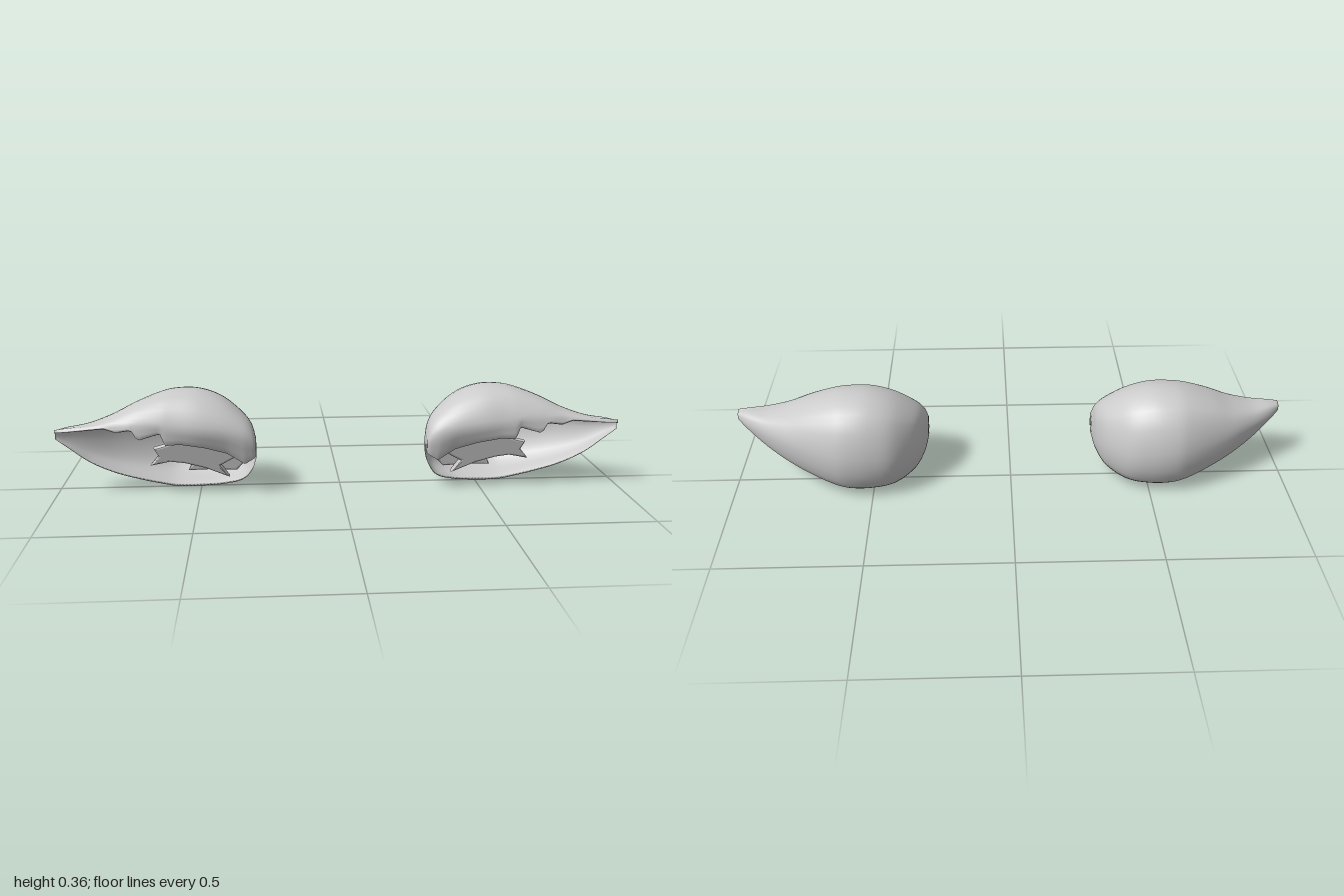
import * as THREE from 'three';
import { mergeVertices } from 'three/addons/utils/BufferGeometryUtils.js';

const COLS = 72, ARC = 26;

// Cross-sections along x: [x, lower rim z,y, back z,y, top z,y, front z,y, front rim z]
const STATIONS = [
  [0.30, 0.10, 0.13, 0.06, 0.16, 0.09, 0.20, 0.125, 0.18, 0.12],
  [0.315, 0.09, 0.085, 0.0, 0.15, 0.06, 0.245, 0.135, 0.20, 0.125],
  [0.35, 0.06, 0.04, -0.065, 0.15, 0.03, 0.285, 0.145, 0.22, 0.125],
  [0.42, 0.02, 0.012, -0.13, 0.15, 0.0, 0.335, 0.152, 0.24, 0.13],
  [0.50, 0.005, 0.003, -0.155, 0.16, -0.01, 0.362, 0.155, 0.25, 0.14],
  [0.58, 0.005, 0.003, -0.158, 0.17, -0.01, 0.363, 0.15, 0.26, 0.145],
  [0.64, 0.01, 0.015, -0.142, 0.175, -0.003, 0.35, 0.146, 0.27, 0.145],
  [0.72, 0.028, 0.04, -0.105, 0.187, 0.015, 0.32, 0.138, 0.272, 0.145],
  [0.80, 0.05, 0.072, -0.06, 0.20, 0.04, 0.283, 0.122, 0.266, 0.13],
  [0.88, 0.07, 0.117, -0.005, 0.205, 0.06, 0.257, 0.112, 0.255, 0.12],
  [0.95, 0.085, 0.175, 0.045, 0.212, 0.08, 0.249, 0.106, 0.25, 0.115],
  [0.99, 0.095, 0.21, 0.08, 0.222, 0.09, 0.24, 0.105, 0.245, 0.108],
];

// Ragged height of the front rim: [x, y]
const FRINGE = [
  [0.30, 0.14], [0.34, 0.115], [0.40, 0.155], [0.48, 0.18], [0.56, 0.195], [0.612, 0.192],
  [0.628, 0.235], [0.705, 0.212], [0.725, 0.25], [0.78, 0.24], [0.82, 0.253], [0.90, 0.244], [0.99, 0.235],
];

function fringeY(x) {
  let i = 1;
  while (i < FRINGE.length - 1 && FRINGE[i][0] < x) i++;
  const [x0, y0] = FRINGE[i - 1], [x1, y1] = FRINGE[i];
  return THREE.MathUtils.lerp(y0, y1, THREE.MathUtils.clamp((x - x0) / (x1 - x0), 0, 1));
}

// Smooth value of one station column at t in 0..1
const tracks = STATIONS[0].map((_, k) =>
  new THREE.CatmullRomCurve3(STATIONS.map((s, i) => new THREE.Vector3(i, s[k], 0)), false, 'catmullrom', 0.5));

// Closed ring: outer skin from lower rim over the back to the front rim, then the inner skin back
function ring(t) {
  const [x, rz, ry, bz, by, tz, ty, fz, fy, ez] = tracks.map((c) => c.getPoint(t).y);
  const v = (z, y) => new THREE.Vector3(x, y, z);
  const mix = THREE.MathUtils.lerp;
  const arc = new THREE.CatmullRomCurve3([
    v(rz, ry), v(mix(rz, bz, 0.72), mix(by, ry, 0.8)), v(bz, by),
    v(mix(tz, bz, 0.7), mix(by, ty, 0.76)), v(tz, ty),
    v(mix(tz, fz, 0.7), mix(fy, ty, 0.78)), v(fz, fy), v(ez, fringeY(x)),
  ], false, 'centripetal');
  const outer = [], inner = [];
  const centre = v((bz + fz) / 2, (ry + ty) / 2);
  for (let j = 0; j <= ARC; j++) {
    const p = arc.getPoint(j / ARC);
    outer.push(p);
    inner.unshift(p.clone().lerp(centre, 0.05 + 0.09 * Math.sin(Math.PI * j / ARC)));
  }
  return [...outer, ...inner];
}

function shellGeometry() {
  const rings = [];
  for (let i = 0; i <= COLS; i++) rings.push(ring(i / COLS));
  // Close both ends on a single point
  const collapse = (r) => {
    const c = r.reduce((a, p) => a.add(p), new THREE.Vector3()).divideScalar(r.length);
    return r.map(() => c);
  };
  rings.unshift(collapse(rings[0]));
  rings.push(collapse(rings[rings.length - 1]));
  const n = rings[0].length, index = [];
  for (let i = 0; i < rings.length - 1; i++) {
    for (let j = 0; j < n; j++) {
      const a = i * n + j, b = i * n + (j + 1) % n;
      index.push(a, b, a + n, b, b + n, a + n);
    }
  }
  const g = new THREE.BufferGeometry().setFromPoints(rings.flat());
  g.setIndex(index);
  g.computeVertexNormals();
  return g;
}

// Pointed clump of fur, leaning forward towards its top
function tuftGeometry(points, z, lean) {
  const shape = new THREE.Shape(points.map(([x, y]) => new THREE.Vector2(x, y)));
  const g = new THREE.ExtrudeGeometry(shape, {
    depth: 0.014, bevelThickness: 0.012, bevelSize: 0.008, bevelOffset: -0.008, bevelSegments: 3,
  });
  const p = g.attributes.position;
  for (let i = 0; i < p.count; i++) p.setZ(i, p.getZ(i) + z + lean * (p.getY(i) - 0.1));
  g.computeVertexNormals();
  return mergeVertices(g);
}

function mirrored(source) {
  const g = source.clone().scale(-1, 1, 1);
  const a = g.index.array;
  for (let i = 0; i < a.length; i += 3) [a[i], a[i + 1]] = [a[i + 1], a[i]];
  return g;
}

export function createModel() {
  const material = new THREE.MeshStandardMaterial({ color: 0xcccccc, side: THREE.DoubleSide });
  const parts = {
    Shell: shellGeometry(),
    // Main clump with two downward points
    FurTuft: tuftGeometry([
      [0.37, 0.19], [0.54, 0.215], [0.62, 0.185], [0.655, 0.175], [0.64, 0.145], [0.67, 0.108],
      [0.60, 0.122], [0.55, 0.115], [0.48, 0.095], [0.395, 0.058], [0.425, 0.105], [0.345, 0.15],
    ], 0.075, 0.25),
    // Smaller clump behind it, at the inner corner
    InnerFur: tuftGeometry([
      [0.34, 0.17], [0.45, 0.18], [0.52, 0.12], [0.54, 0.078], [0.45, 0.08], [0.37, 0.075], [0.335, 0.115],
    ], 0.045, 0.2),
  };
  const model = new THREE.Group();
  for (const side of ['left', 'right']) {
    const ear = new THREE.Group();
    ear.name = side + 'Ear';
    for (const [name, geometry] of Object.entries(parts)) {
      const mesh = new THREE.Mesh(side === 'left' ? geometry : mirrored(geometry), material);
      mesh.name = side + name;
      ear.add(mesh);
    }
    model.add(ear);
  }
  return model;
}
